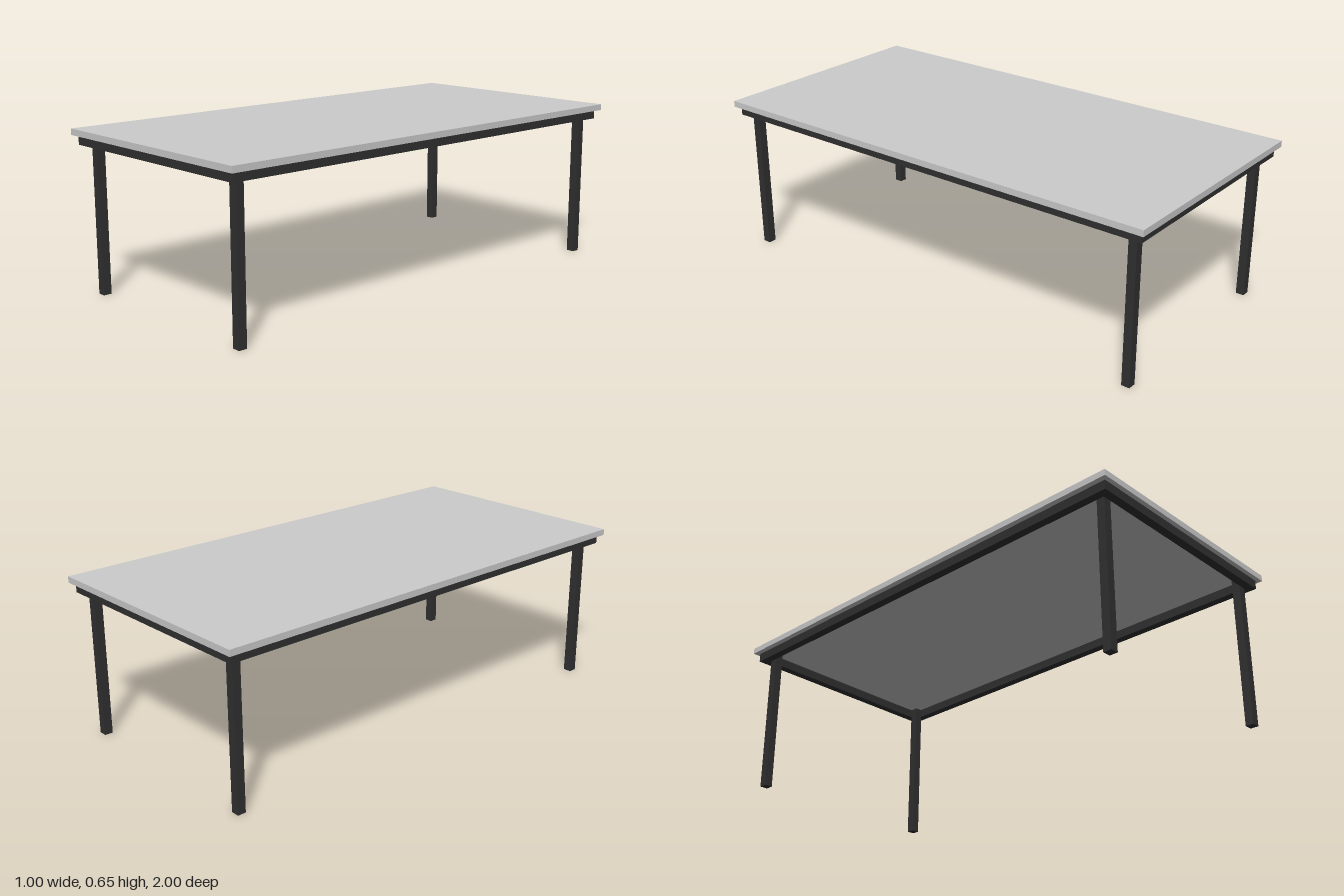
import * as THREE from 'three';

export function createModel() {
  const group = new THREE.Group();
  const grey = new THREE.MeshStandardMaterial({ color: 0xcccccc });
  const black = new THREE.MeshStandardMaterial({ color: 0x303030 });

  // box given by its centre and size
  const box = (name, material, [w, h, d], [x, y, z]) => {
    const mesh = new THREE.Mesh(new THREE.BoxGeometry(w, h, d), material);
    mesh.name = name;
    mesh.position.set(x, y, z);
    group.add(mesh);
  };

  const height = 0.652, topThickness = 0.025, railHeight = 0.037;
  const underside = height - topThickness;
  const railY = underside - railHeight / 2;
  const halfX = 0.478, halfZ = 0.982, rail = 0.034, leg = 0.034;

  box('tabletop', grey, [1, topThickness, 2], [0, height - topThickness / 2, 0]);

  // apron frame under the top
  for (const s of [-1, 1]) {
    box('sideRail', black, [rail, railHeight, 2 * halfZ], [s * (halfX - rail / 2), railY, 0]);
    box('endRail', black, [2 * (halfX - rail), railHeight, rail], [0, railY, s * (halfZ - rail / 2)]);
  }

  // legs stand inside the frame corners, set slightly toward the left
  for (const x of [-0.423, 0.431]) {
    for (const z of [-0.93, 0.93]) {
      box('leg', black, [leg, underside, leg], [x, underside / 2, z]);
    }
  }
  return group;
}
